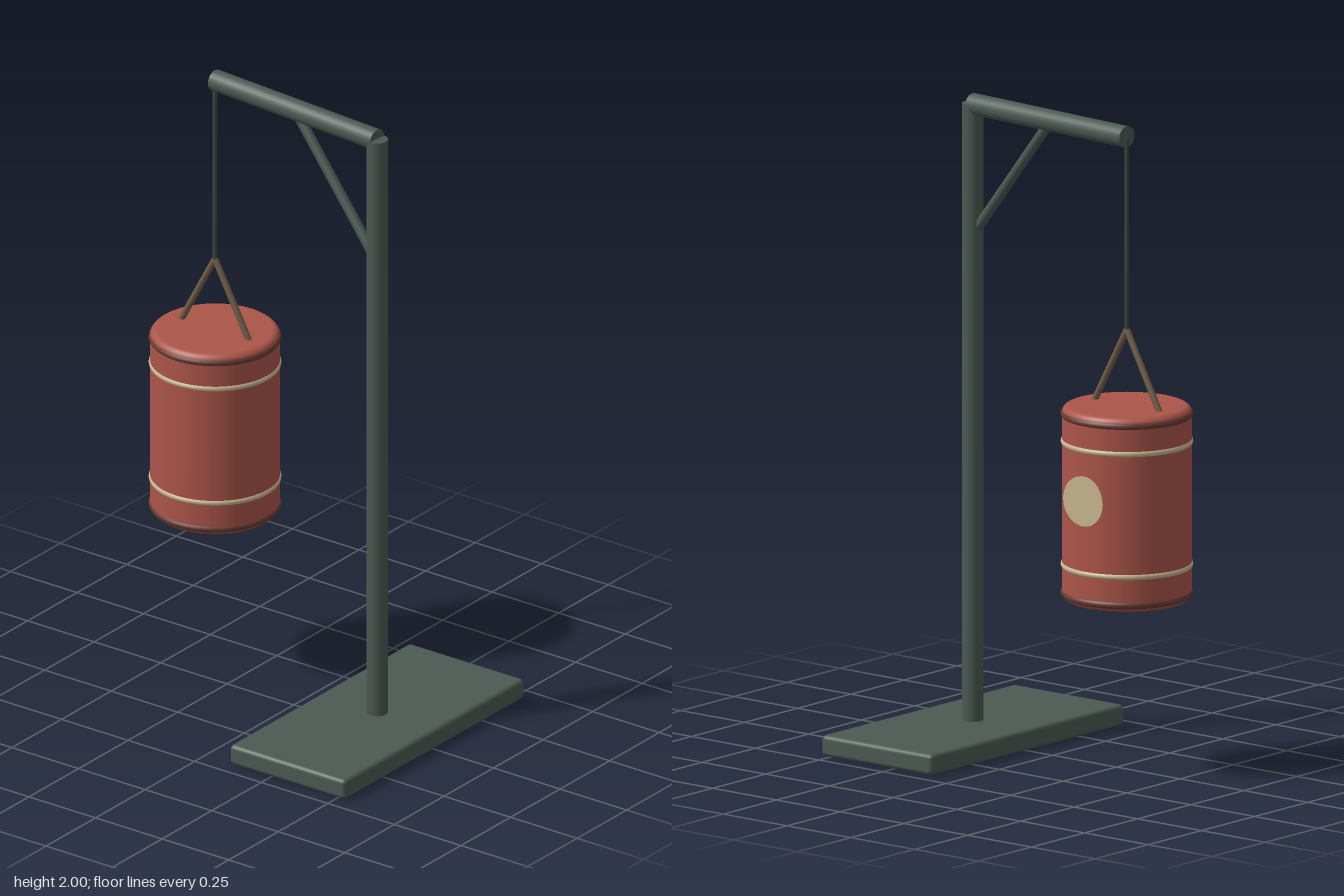
import * as THREE from 'three';
import { RoundedBoxGeometry } from 'three/addons/geometries/RoundedBoxGeometry.js';

const mat = (color) => new THREE.MeshStandardMaterial({ color });
const V = (x, y, z) => new THREE.Vector3(x, y, z);

export function createModel() {
  const model = new THREE.Group();
  const steel = mat(0x4c5953), rope = mat(0x3a4540), strapMat = mat(0x6e5d48);
  const red = mat(0xac5549), rimMat = mat(0x6b3c34), cream = mat(0xc9b68f);

  const add = (parent, name, geometry, material, x = 0, y = 0, z = 0) => {
    const mesh = new THREE.Mesh(geometry, material);
    mesh.name = name;
    mesh.position.set(x, y, z);
    parent.add(mesh);
    return mesh;
  };

  // Round bar running between two points
  const bar = (parent, name, a, b, r, material, sides = 24) => {
    const dir = b.clone().sub(a);
    const mesh = add(parent, name, new THREE.CylinderGeometry(r, r, dir.length(), sides), material);
    mesh.position.copy(a).add(b).multiplyScalar(0.5);
    mesh.quaternion.setFromUnitVectors(V(0, 1, 0), dir.normalize());
    return mesh;
  };

  // Stand: foot plate, upright, arm swung slightly backwards, diagonal brace
  add(model, 'base', new RoundedBoxGeometry(0.434, 0.065, 0.91, 3, 0.014), steel, 0.313, 0.0325, 0);
  bar(model, 'post', V(0.313, 0.05, 0), V(0.313, 1.97, 0), 0.033, steel);
  bar(model, 'arm', V(-0.333, 1.967, -0.05), V(0.313, 1.967, 0), 0.033, steel);
  bar(model, 'brace', V(-0.005, 1.955, -0.025), V(0.305, 1.573, 0), 0.016, steel, 16);

  // Hanging bag, built about its own vertical axis
  const bag = new THREE.Group();
  bag.name = 'hangingBag';
  bag.position.set(-0.333, 0, -0.05);
  model.add(bag);

  bar(bag, 'rope', V(0, 1.365, 0), V(0, 1.967, 0), 0.007, rope, 12);
  for (const s of [-1, 1]) {
    bar(bag, s < 0 ? 'rightStrap' : 'leftStrap', V(0, 1.372, 0), V(s * 0.133, 1.125, 0), 0.01, strapMat, 12);
  }

  // Body with softly rounded ends
  const R = 0.196, low = 0.54, high = 1.14, c = 0.022;
  const profile = [new THREE.Vector2(0, low)];
  for (let i = 0; i <= 6; i++) {
    const a = (i / 6) * Math.PI / 2;
    profile.push(new THREE.Vector2(R - c + c * Math.sin(a), low + c - c * Math.cos(a)));
  }
  for (let i = 0; i <= 6; i++) {
    const a = (i / 6) * Math.PI / 2;
    profile.push(new THREE.Vector2(R - c + c * Math.cos(a), high - c + c * Math.sin(a)));
  }
  profile.push(new THREE.Vector2(0, high));
  add(bag, 'bagBody', new THREE.LatheGeometry(profile, 64), red);

  // Dark rims at the ends and pale bands inside them
  const ring = (name, y, radius, tube, material) => {
    add(bag, name, new THREE.TorusGeometry(radius, tube, 12, 64), material, 0, y, 0).rotation.x = Math.PI / 2;
  };
  ring('topRim', 1.115, 0.187, 0.013, rimMat);
  ring('bottomRim', 0.563, 0.187, 0.013, rimMat);
  ring('topBand', 1.03, 0.189, 0.011, cream);
  ring('bottomBand', 0.65, 0.189, 0.011, cream);

  // Round target patch on the back of the bag
  const patch = add(bag, 'targetPatch', new THREE.CylinderGeometry(0.077, 0.077, 0.004, 40), cream, 0, 0.877, -0.206);
  patch.rotation.x = Math.PI / 2;

  return model;
}
